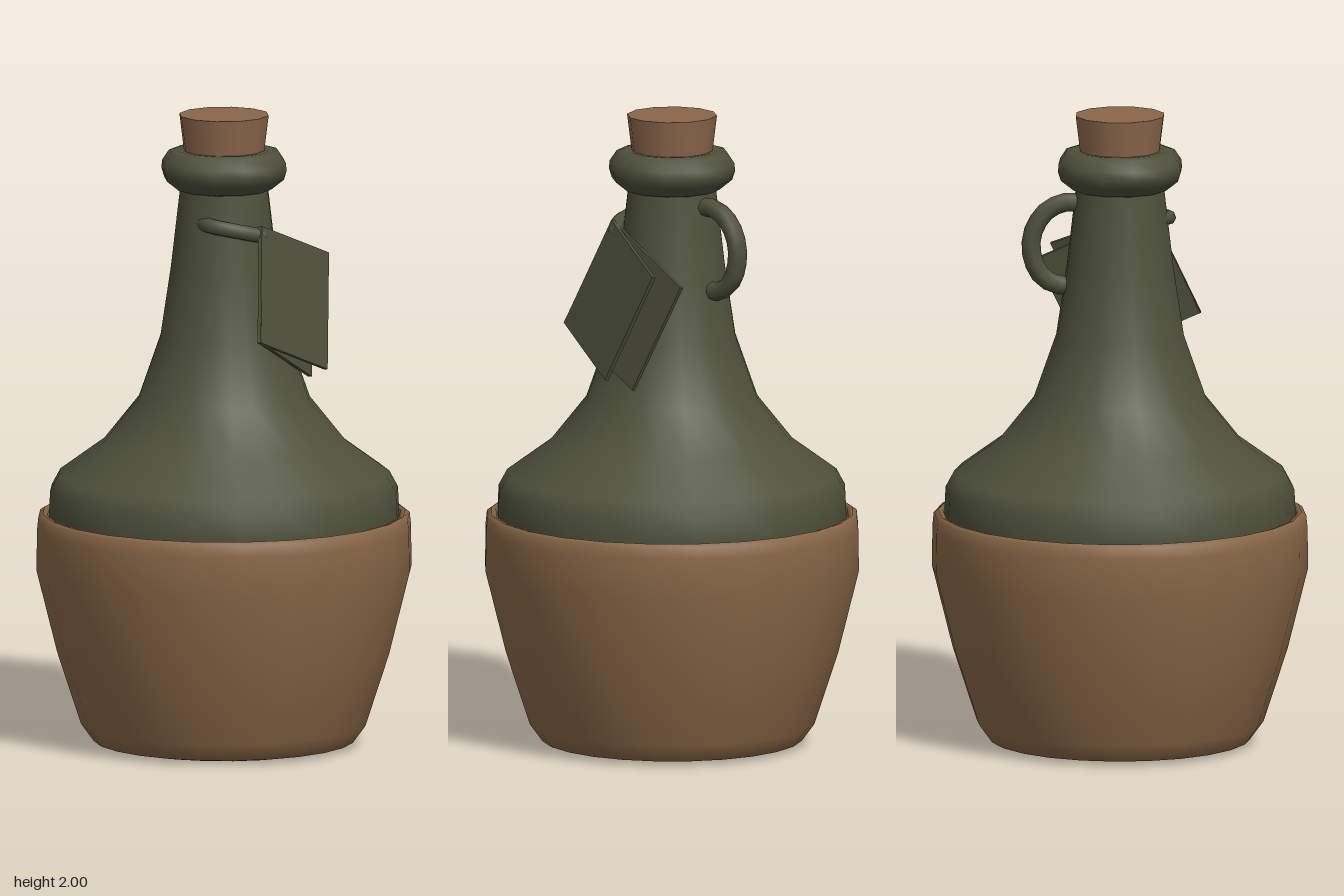
import * as THREE from 'three';

const V = (x, y, z) => new THREE.Vector3(x, y, z);

export function createModel() {
  const group = new THREE.Group();
  const green = new THREE.MeshStandardMaterial({ name: 'dark green glass', color: 0x4e503b });
  const brown = new THREE.MeshStandardMaterial({ name: 'wicker brown', color: 0x8a6847 });
  const corkMat = new THREE.MeshStandardMaterial({ name: 'cork brown', color: 0x8a664a });

  const add = (name, geometry, material) => {
    const mesh = new THREE.Mesh(geometry, material);
    mesh.name = name;
    group.add(mesh);
    return mesh;
  };
  const lathe = (points, sides, start = 0) =>
    new THREE.LatheGeometry(points.map(([r, y]) => new THREE.Vector2(r, y)), sides, start);
  const tube = (points, radius) =>
    new THREE.TubeGeometry(new THREE.CatmullRomCurve3(points), 14, radius, 8, false);

  // Basket: recessed base, flaring wall, rounded rim and short inner lip
  add('basket', lathe([
    [0, 0.05], [0.2, 0.04], [0.29, 0.01], [0.33, 0], [0.41, 0.015], [0.45, 0.07],
    [0.525, 0.3], [0.59, 0.56], [0.588, 0.69], [0.584, 0.728], [0.57, 0.737],
  ], 24), brown);
  add('basketRim', lathe([[0.584, 0.728], [0.57, 0.737], [0.555, 0.733], [0.55, 0.68]], 24), brown);

  // Bottle: shoulder and tapering neck
  add('bottle', lathe([
    [0.54, 0.62], [0.551, 0.73], [0.547, 0.81], [0.52, 0.86], [0.38, 0.962],
    [0.27, 1.1], [0.2, 1.3], [0.167, 1.52], [0.138, 1.77], [0.138, 1.83],
  ], 24), green);

  // Lip around the mouth
  add('lip', lathe([
    [0.13, 1.76], [0.15, 1.765], [0.19, 1.797], [0.199, 1.825], [0.197, 1.85],
    [0.175, 1.883], [0.15, 1.89], [0.1, 1.885],
  ], 12, Math.PI / 12), green);

  // Cork stopper
  const cork = add('cork', new THREE.CylinderGeometry(0.142, 0.122, 0.16, 12, 1, false, Math.PI / 12), corkMat);
  cork.position.y = 1.92;

  // Ring handle on the neck, turned towards the back
  const angle = 39 * Math.PI / 180;
  const handlePath = [
    [0.1, 1.715], [0.17, 1.725], [0.235, 1.695], [0.275, 1.63],
    [0.278, 1.56], [0.25, 1.495], [0.2, 1.463], [0.12, 1.46],
  ].map(([r, y]) => V(r * Math.cos(angle), y, -r * Math.sin(angle)));
  add('handle', tube(handlePath, 0.03), green);

  // Cord from the neck to the tag, with a rounded end
  const cordEnd = V(0.015, 1.637, 0.18);
  add('cord', tube([V(-0.115, 1.672, 0.03), V(-0.115, 1.668, 0.1), V(-0.06, 1.655, 0.155), cordEnd], 0.024), green);
  add('cordEnd', new THREE.SphereGeometry(0.024, 8, 6), green).position.copy(cordEnd);

  // Folded tag: two thin leaves sharing one hinge edge
  const hingeTop = V(0, 1.672, 0.19);
  const hingeBottom = V(-0.087, 1.325, 0.322);
  const leaf = (name, outerTop) => {
    const across = outerTop.clone().sub(hingeTop);
    const down = hingeTop.clone().sub(hingeBottom);
    const mesh = add(name, new THREE.BoxGeometry(across.length(), down.length(), 0.012), green);
    const x = across.clone().normalize();
    const z = x.clone().cross(down).normalize();
    const y = z.clone().cross(x);
    mesh.quaternion.setFromRotationMatrix(new THREE.Matrix4().makeBasis(x, y, z));
    mesh.position.copy(outerTop).add(hingeBottom).multiplyScalar(0.5);
  };
  leaf('tagFront', V(0.317, 1.545, 0.105));
  leaf('tagBack', V(0.315, 1.51, 0.018));

  return group;
}
